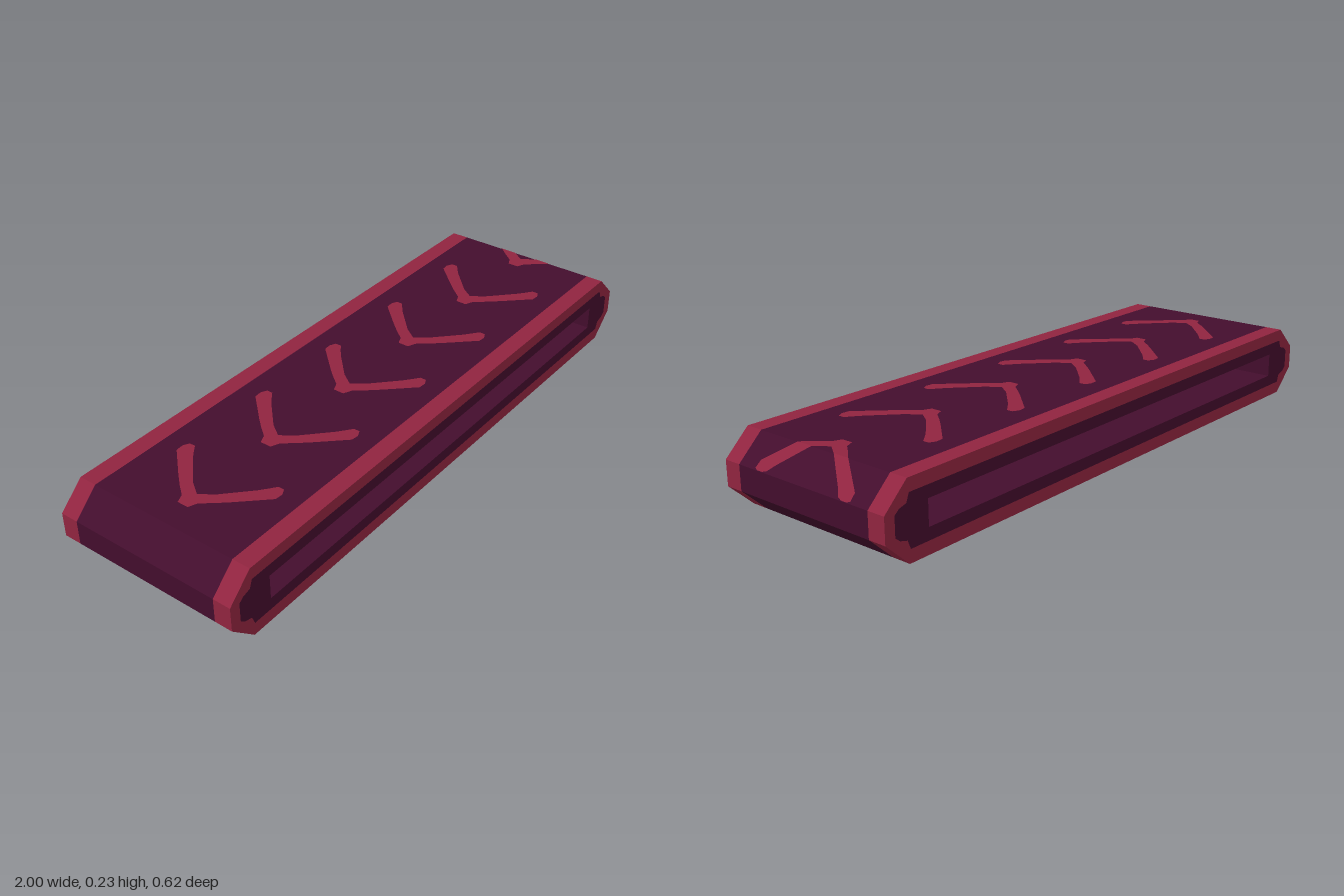
import * as THREE from 'three';

const H = 0.23, HALF_W = 0.308, EDGE = 0.25;
const FOLD = 0.92, LOW = 0.078, HIGH = 0.154;

const red = new THREE.MeshStandardMaterial({ color: 0x90243f });
red.name = 'crimson trim';
const purple = new THREE.MeshStandardMaterial({ color: 0x430d2d });
purple.name = 'dark plum belt';

// Mirrors a quarter outline (from low on the right side up to the top) into a closed counter-clockwise loop
function loopFrom(quarter) {
  const right = [...quarter.map(([x, y]) => [x, H - y]).reverse(), ...quarter];
  return [...right, ...right.map(([x, y]) => [-x, H - y])].map(p => new THREE.Vector2(...p));
}

const outline = loopFrom([[1, HIGH], [FOLD, H]]);
const panelEdge = loopFrom([[0.966, 0.145], [0.95, 0.158], [0.925, 0.165], [0.915, 0.191]]);
const slot = loopFrom([[0.85, HIGH]]);

function quads(list) {
  const pos = [];
  for (const [a, b, c, d] of list) pos.push(...a, ...b, ...c, ...a, ...c, ...d);
  const g = new THREE.BufferGeometry();
  g.setAttribute('position', new THREE.Float32BufferAttribute(pos, 3));
  g.computeVertexNormals();
  return g;
}

// Wall that follows a loop between two depths
function band(loop, z0, z1) {
  return quads(loop.map((p, i) => {
    const q = loop[(i + 1) % loop.length];
    return [[p.x, p.y, z1], [p.x, p.y, z0], [q.x, q.y, z0], [q.x, q.y, z1]];
  }));
}

// Flat ring between two loops
function ring(outer, inner) {
  const s = new THREE.Shape(outer);
  s.holes.push(new THREE.Path(inner));
  return new THREE.ShapeGeometry(s);
}

// Half chevron sections: distance from the tip, inner z, outer z
const SECTIONS = [
  [0, 0, 0.018], [0.028, 0, 0.03], [0.055, 0, 0.064], [0.085, 0.043, 0.098],
  [0.165, 0.12, 0.183], [0.19, 0.14, 0.185], [0.21, 0.155, 0.175],
];

// Chevron painted on the belt, bending over the sloped end when it passes the fold
function chevron(tip) {
  const slope = Math.hypot(1 - FOLD, H - HIGH);
  const at = (s, z) => {
    const x = tip + s, lift = 0.0015;
    if (x <= FOLD + 1e-6) return [x, H + lift, z];
    const t = Math.min((x - FOLD) / slope, 1);
    return [FOLD + (1 - FOLD) * t, H - (H - HIGH) * t + lift, z];
  };
  const list = [];
  for (let i = 0; i < SECTIONS.length - 1; i++) {
    const [s, a, b] = SECTIONS[i], [u, c, d] = SECTIONS[i + 1];
    list.push([at(s, a), at(s, b), at(u, d), at(u, c)]);
    list.push([at(s, -b), at(s, -a), at(u, -c), at(u, -d)]);
  }
  return quads(list);
}

export function createModel() {
  const model = new THREE.Group();
  model.name = 'conveyorBelt';
  const add = (name, geometry, material, parent = model) => {
    const m = new THREE.Mesh(geometry, material);
    m.name = name;
    parent.add(m);
    return m;
  };

  // Belt surface and the slot running through it
  add('beltSurface', band(outline, -EDGE, EDGE), purple);
  add('slotWalls', band([...slot].reverse(), -HALF_W, HALF_W), purple);

  // Red rims and side panels, front and back
  for (const [side, turn] of [['front', 0], ['back', Math.PI]]) {
    const g = new THREE.Group();
    g.name = side + 'Side';
    g.rotation.y = turn;
    add('rimEdge', band(outline, EDGE, HALF_W), red, g);
    add('rimFace', ring(outline, panelEdge), red, g).position.z = HALF_W;
    add('sidePanel', ring(panelEdge, slot), purple, g).position.z = HALF_W;
    model.add(g);
  }

  // Direction chevrons travelling round the loop: top run and underside
  for (const run of ['top', 'bottom']) {
    const g = new THREE.Group();
    g.name = run + 'Chevrons';
    if (run === 'bottom') {
      g.rotation.z = Math.PI;
      g.position.y = H;
    }
    for (let i = 0; i < 6; i++) add('chevron', chevron(-0.84 + 0.335 * i), red, g);
    model.add(g);
  }
  return model;
}
